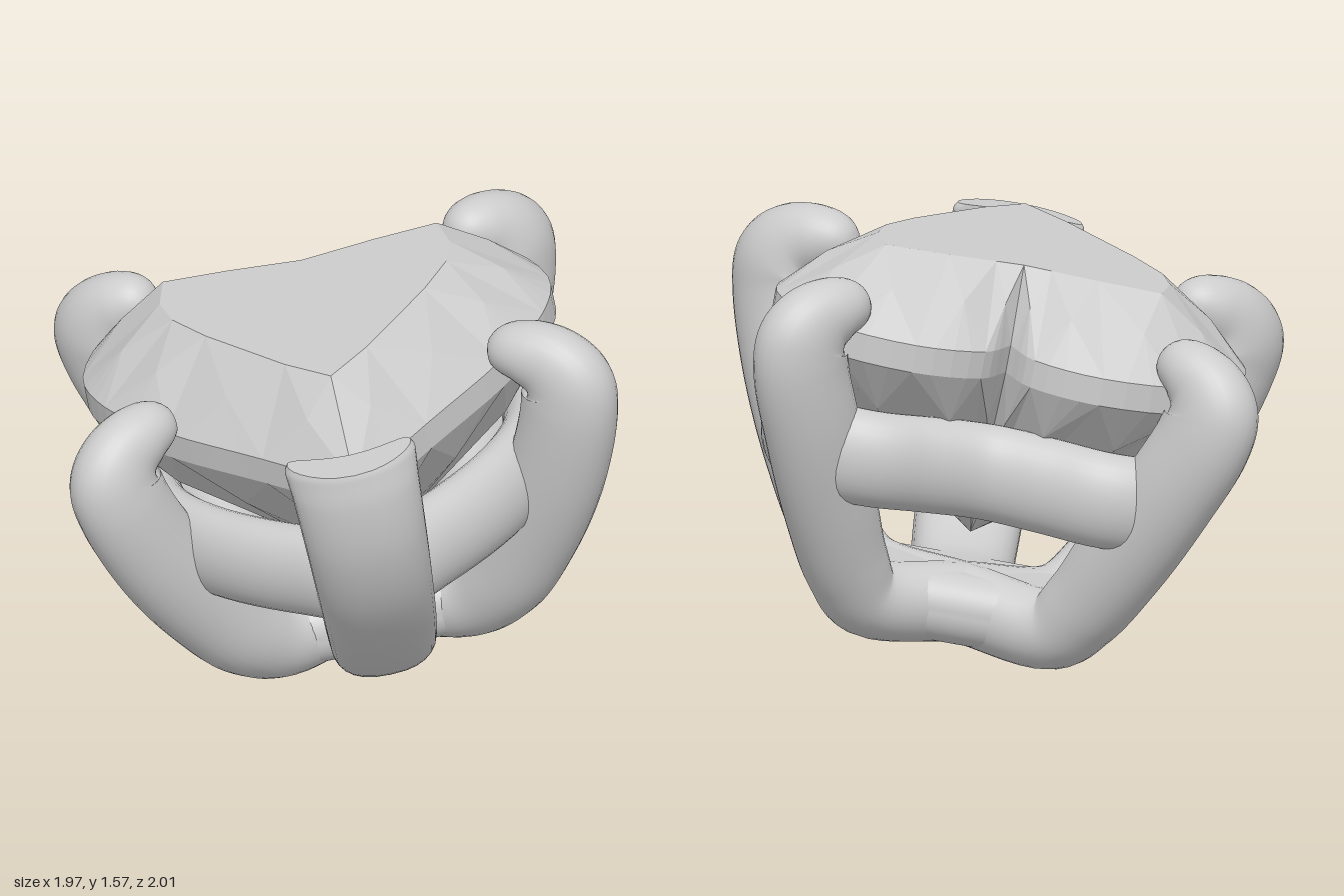
import * as THREE from 'three';
import { RoundedBoxGeometry } from 'three/addons/geometries/RoundedBoxGeometry.js';

const V = (x, y, z) => new THREE.Vector3(x, y, z);
const UP = V(0, 1, 0);
const smooth = THREE.MathUtils.smoothstep;

// Sweeps a cross-section along a curve; side stays perpendicular to the path's plane.
// section(angle, t) gives [offset along side, offset along inward normal].
function sweep(curve, side, section, steps = 64, around = 28) {
  const pos = [], index = [];
  for (let j = 0; j <= steps; j++) {
    const t = j / steps, p = curve.getPoint(t), tan = curve.getTangent(t);
    const s = side.clone().addScaledVector(tan, -side.dot(tan)).normalize();
    const n = tan.clone().cross(s);
    for (let i = 0; i < around; i++) {
      const [a, b] = section((i / around) * Math.PI * 2, t);
      pos.push(...p.clone().addScaledVector(s, a).addScaledVector(n, b).toArray());
      if (j < steps) {
        const k = (i + 1) % around, q = j * around;
        index.push(q + i, q + k, q + around + k, q + i, q + around + k, q + around + i);
      }
    }
  }
  // Flat end cap with its own vertices
  if (!curve.closed) {
    const base = pos.length / 3;
    pos.push(...pos.slice(-around * 3));
    pos.push(...curve.getPoint(1).toArray());
    for (let i = 0; i < around; i++) index.push(base + i, base + ((i + 1) % around), base + around);
  }
  const g = new THREE.BufferGeometry();
  g.setAttribute('position', new THREE.Float32BufferAttribute(pos, 3));
  g.setIndex(index);
  g.computeVertexNormals();
  return g;
}

// Mirrors a half outline running from the heart's point to its notch into a full loop
const mirrorLoop = (half) => [
  ...half,
  ...half.slice(1, -1).reverse().map((p) => V(-p.x, p.y, p.z)),
];

// Faceted heart gem: table, star, kite and girdle facets above; tapering pavilion below
function gemGeometry() {
  const pos = [];
  const tri = (a, b, c, flip) => {
    for (const p of flip ? [a, c, b] : [a, b, c]) pos.push(p.x, p.y, p.z);
  };
  const SUB = 4;
  const keys = [[0, 0.82], [0.3, 0.47], [0.61, 0.12], [0.8, -0.17], [0.85, -0.43],
    [0.68, -0.76], [0.34, -0.87], [0.09, -0.78], [0, -0.62]].map(([x, z]) => V(x, 0, z));
  const curve = new THREE.CatmullRomCurve3(keys);
  const outline = mirrorLoop(curve.getPoints((keys.length - 1) * SUB));
  const at = (y) => outline.map((p) => V(p.x, y, p.z));
  const top = at(1.16), low = at(1.06), n = top.length, K = n / SUB;

  const facets = (girdle, inner, mix, midY, flip) => {
    const mid = inner.map((p, k) => {
      const q = inner[(k + 1) % K].clone().add(p).multiplyScalar(0.5);
      q.lerp(girdle[k * SUB + SUB / 2], mix).y = midY;
      return q;
    });
    for (let k = 0; k < K; k++) {
      const prev = mid[(k + K - 1) % K], g = girdle[k * SUB];
      tri(inner[k], mid[k], inner[(k + 1) % K], flip);
      tri(inner[k], prev, g, flip);
      tri(inner[k], g, mid[k], flip);
      for (let s = 0; s < SUB; s++) {
        tri(mid[k], girdle[k * SUB + s], girdle[(k * SUB + s + 1) % n], flip);
      }
    }
  };
  const fan = (ring, c, flip) =>
    ring.forEach((p, k) => tri(c, p, ring[(k + 1) % ring.length], flip));

  // Crown and table
  const table = mirrorLoop([[0, 0.45], [0.15, 0.29], [0.4, -0.05], [0.5, -0.22], [0.53, -0.36],
    [0.5, -0.52], [0.27, -0.5], [0.1, -0.475], [0, -0.46]].map(([x, z]) => V(x, 1.42, z)));
  facets(top, table, 0.55, 1.305, false);
  fan(table, V(0, 1.42, -0.15), false);
  // Girdle
  for (let i = 0; i < n; i++) {
    const k = (i + 1) % n;
    tri(low[i], low[k], top[k]);
    tri(low[i], top[k], top[i]);
  }
  // Pavilion and culet
  const inner = Array.from({ length: K }, (_, k) => {
    const p = low[k * SUB];
    return V(p.x * 0.3, 0.54, -0.13 + (p.z + 0.13) * 0.3);
  });
  facets(low, inner, 0.76, 0.87, true);
  fan(inner, V(0, 0.34, -0.13), true);

  const g = new THREE.BufferGeometry();
  g.setAttribute('position', new THREE.Float32BufferAttribute(pos, 3));
  g.computeVertexNormals();
  return g;
}

export function createModel() {
  const root = new THREE.Group();
  root.name = 'heartGemSetting';
  const tilted = new THREE.Group();
  tilted.name = 'tiltedSetting';
  tilted.position.set(0.19, 0.075, 0);
  tilted.rotation.z = 0.18;
  root.add(tilted);

  const grey = new THREE.MeshStandardMaterial({ color: 0xcccccc });
  grey.name = 'grey';
  const add = (name, geometry) => {
    const m = new THREE.Mesh(geometry, grey);
    m.name = name;
    tilted.add(m);
    return m;
  };

  add('heartGem', gemGeometry());

  // Four hooked side prongs, thick at the shoulder and slim at the tip
  const prongs = {
    FrontProng: [[0, 0.13, -0.33], [0.34, 0.13, -0.12], [0.48, 0.25, 0], [0.6, 0.46, 0.1],
      [0.735, 0.75, 0.215], [0.815, 1.0, 0.275], [0.825, 1.1, 0.275], [0.78, 1.18, 0.25],
      [0.69, 1.225, 0.205], [0.57, 1.23, 0.155]],
    BackProng: [[0, 0.13, -0.33], [0.34, 0.13, -0.49], [0.43, 0.25, -0.57], [0.53, 0.48, -0.68],
      [0.65, 0.78, -0.8], [0.73, 1.0, -0.855], [0.74, 1.1, -0.855], [0.7, 1.18, -0.83],
      [0.63, 1.225, -0.79], [0.53, 1.23, -0.73]],
  };
  const hook = (angle, t) => {
    const tip = t > 0.85 ? Math.sqrt(Math.max(0, 1 - ((t - 0.85) / 0.15) ** 2)) : 1;
    const slim = smooth(t, 0.64, 0.92);
    const radial = 0.145 + 0.038 * smooth(t, 0.1, 0.4) - 0.065 * slim;
    return [Math.cos(angle) * (0.138 - 0.025 * slim) * tip, Math.sin(angle) * radial * tip];
  };
  for (const [name, pts] of Object.entries(prongs)) {
    for (const sx of [1, -1]) {
      const path = pts.map(([x, y, z]) => V(sx * x, y, z));
      const dir = path[6].clone().sub(path[0]).setY(0).normalize();
      const side = UP.clone().cross(dir);
      add((sx > 0 ? 'left' : 'right') + name, sweep(new THREE.CatmullRomCurve3(path), side, hook));
    }
  }

  // Broad prong that guards the heart's point, turning to a crescent cut flat on top
  const spine = new THREE.CatmullRomCurve3([[0.13, -0.33], [0.13, -0.04], [0.21, 0.19], [0.42, 0.455],
    [0.71, 0.71], [0.96, 0.845], [1.17, 0.9], [1.29, 0.905]].map(([y, z]) => V(0, y, z)));
  const blunt = (v) => Math.sign(v) * Math.abs(v) ** 0.8;
  add('pointProng', sweep(spine, V(1, 0, 0), (angle, t) => {
    const c = blunt(Math.cos(angle)), s = blunt(Math.sin(angle));
    const end = t > 0.98 ? 1 - (t - 0.98) * 3 : 1;
    const thick = 0.14 - 0.06 * smooth(t, 0.55, 1);
    return [c * (0.17 + 0.07 * t) * end, (s * thick + 0.1 * t ** 3 * c * c) * end];
  }));

  // Heart-shaped band running through the prongs
  const bandHalf = [[0, 0.64], [0.26, 0.47], [0.52, 0.21], [0.66, -0.04], [0.7, -0.31], [0.69, -0.56],
    [0.59, -0.74], [0.42, -0.78], [0.22, -0.72], [0, -0.67]].map(([x, z]) => V(x, 0.7, z));
  add('heartBand', sweep(new THREE.CatmullRomCurve3(mirrorLoop(bandHalf), true), UP,
    (angle) => [Math.cos(angle) * 0.175, Math.sin(angle) * 0.115], 96));

  // Rounded hub where the prongs meet
  add('baseHub', new RoundedBoxGeometry(0.88, 0.26, 0.5, 6, 0.12)).position.set(0, 0.125, -0.28);

  return root;
}
